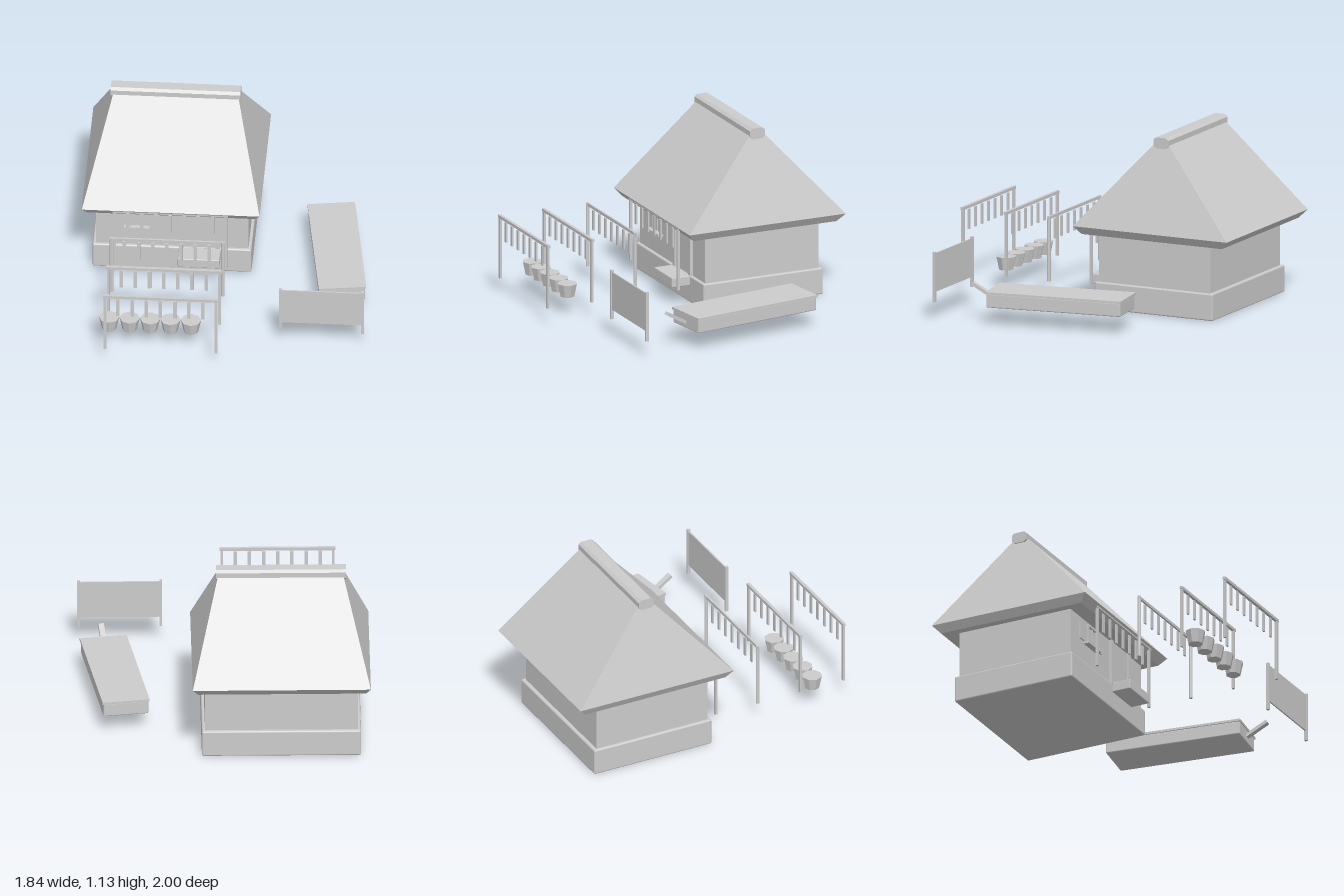
import * as THREE from 'three';
import { RoundedBoxGeometry } from 'three/addons/geometries/RoundedBoxGeometry.js';

const plaster = new THREE.MeshStandardMaterial({ color: 0xcccccc });
plaster.name = 'plain grey';

function flat(geometry) {
  const g = geometry.index ? geometry.toNonIndexed() : geometry;
  g.computeVertexNormals();
  return g;
}

function add(parent, name, geometry) {
  const mesh = new THREE.Mesh(geometry, plaster);
  mesh.name = name;
  parent.add(mesh);
  return mesh;
}

function group(parent, name) {
  const g = new THREE.Group();
  g.name = name;
  parent.add(g);
  return g;
}

// box given by its limits, optionally with softened edges
function box(parent, name, [x0, x1], [y0, y1], [z0, z1], bevel = 0) {
  const size = [x1 - x0, y1 - y0, z1 - z0];
  const geometry = bevel ? new RoundedBoxGeometry(...size, 1, bevel) : new THREE.BoxGeometry(...size);
  const mesh = add(parent, name, geometry);
  mesh.position.set((x0 + x1) / 2, (y0 + y1) / 2, (z0 + z1) / 2);
  return mesh;
}

// closed solid through stacked rectangles [x0, x1, z0, z1, y], bottom to top
function stackedRects(rects) {
  const rings = rects.map(([x0, x1, z0, z1, y]) => [[x0, y, z1], [x1, y, z1], [x1, y, z0], [x0, y, z0]]);
  const points = [];
  const quad = (a, b, c, d) => points.push(...a, ...b, ...c, ...a, ...c, ...d);
  for (let r = 0; r < rings.length - 1; r++) {
    for (let i = 0; i < 4; i++) {
      const j = (i + 1) % 4;
      quad(rings[r][i], rings[r][j], rings[r + 1][j], rings[r + 1][i]);
    }
  }
  const [a, b, c, d] = rings[0];
  quad(d, c, b, a);
  quad(...rings[rings.length - 1]);
  const g = new THREE.BufferGeometry();
  g.setAttribute('position', new THREE.Float32BufferAttribute(points, 3));
  return flat(g);
}

function buildHouse(parent) {
  const house = group(parent, 'house');
  box(house, 'foundation', [-0.86, 0.15], [0, 0.175], [-0.87, -0.03], 0.01);
  box(house, 'walls', [-0.84, 0.13], [0.17, 0.5], [-0.845, -0.05]);

  // thick hipped roof with slanted eave edges
  add(house, 'roof', stackedRects([
    [-0.89, 0.175, -0.95, 0.05, 0.482],
    [-0.92, 0.21, -1, 0.095, 0.535],
    [-0.755, 0.045, -0.505, -0.4, 1.085],
  ]));

  // chamfered ridge beam running along x
  const profile = new THREE.Shape([
    [-0.053, -0.02], [-0.035, -0.035], [0.035, -0.035], [0.053, -0.02],
    [0.053, 0.02], [0.035, 0.035], [-0.035, 0.035], [-0.053, 0.02],
  ].map(([x, y]) => new THREE.Vector2(x, y)));
  const ridge = add(house, 'ridgeBeam', new THREE.ExtrudeGeometry(profile, { depth: 0.825, bevelEnabled: false }));
  ridge.rotation.y = Math.PI / 2;
  ridge.position.set(-0.77, 1.097, -0.453);

  // window with frame, sill and shutter
  const win = group(house, 'window');
  box(win, 'shutter', [-0.72, -0.425], [0.33, 0.44], [-0.05, -0.042]);
  for (const x of [-0.62, -0.5]) box(win, 'windowSide', [x - 0.008, x + 0.008], [0.33, 0.46], [-0.05, -0.032]);
  box(win, 'windowBar', [-0.565, -0.555], [0.33, 0.46], [-0.05, -0.036]);
  box(win, 'windowTop', [-0.628, -0.492], [0.447, 0.46], [-0.05, -0.032]);
  box(win, 'windowSill', [-0.66, -0.49], [0.312, 0.328], [-0.05, -0.012]);

  // doorway and step
  const door = group(house, 'doorway');
  box(door, 'doorPanel', [-0.29, -0.065], [0.175, 0.49], [-0.05, -0.043]);
  for (const x of [-0.295, -0.065]) box(door, 'doorPost', [x - 0.015, x + 0.015], [0.175, 0.495], [-0.05, -0.03]);
  box(house, 'step', [-0.31, -0.045], [0.115, 0.18], [-0.03, 0.1], 0.006);
}

// hanging rack: two posts, a rail and seven slats
function buildRack(parent, z, slim) {
  const rack = group(parent, 'rack');
  rack.position.z = z;
  for (const x of [-0.712, -0.005]) {
    if (slim) {
      const post = add(rack, 'rackPost', flat(new THREE.CylinderGeometry(0.012, 0.012, 0.42, 8)));
      post.position.set(x, 0.32, 0);
    } else {
      box(rack, 'rackPost', [x - 0.009, x + 0.009], [0.11, 0.525], [-0.008, 0.008]);
    }
  }
  const half = slim ? 0.006 : 0.01;
  box(rack, 'rackRail', [-0.725, 0.01], [0.512, 0.531], [-half, half]);
  for (let i = 0; i < 7; i++) {
    const x = -0.63 + i * 0.09;
    box(rack, 'rackSlat', [x - 0.011, x + 0.011], [0.372, 0.503], [-0.005, 0.005]);
  }
}

function buildBuckets(parent) {
  const buckets = group(parent, 'buckets');
  for (let i = 0; i < 5; i++) {
    const bucket = add(buckets, 'bucket', flat(new THREE.CylinderGeometry(0.065, 0.047, 0.085, 8)));
    bucket.position.set(-0.7 + i * 0.13, 0.157, 0.77);
  }
}

function buildScreen(parent) {
  const screen = group(parent, 'screenFence');
  box(screen, 'screenPanel', [0.39, 0.905], [0.18, 0.43], [0.719, 0.729]);
  for (const x of [0.386, 0.908]) box(screen, 'screenPost', [x - 0.009, x + 0.009], [0.115, 0.44], [0.714, 0.734]);
}

// turned platform with a lid and a tilted spout
function buildPlatform(parent) {
  const platform = group(parent, 'platform');
  platform.position.set(0.691, 0, -0.064);
  platform.rotation.y = 0.146;
  box(platform, 'platformBody', [-0.145, 0.145], [0.113, 0.203], [-0.45, 0.45], 0.008);
  box(platform, 'platformTop', [-0.151, 0.151], [0.2, 0.215], [-0.454, 0.454]);
  const spout = add(platform, 'spout', new THREE.BoxGeometry(0.036, 0.022, 0.16));
  spout.position.set(-0.008, 0.192, 0.52);
  spout.rotation.x = -0.52;
}

export function createModel() {
  const model = new THREE.Group();
  model.name = 'thatchedHouseYard';
  buildHouse(model);
  for (const z of [0.075, 0.375, 0.68, 0.988]) buildRack(model, z, z === 0.375);
  buildBuckets(model);
  buildScreen(model);
  buildPlatform(model);
  return model;
}
